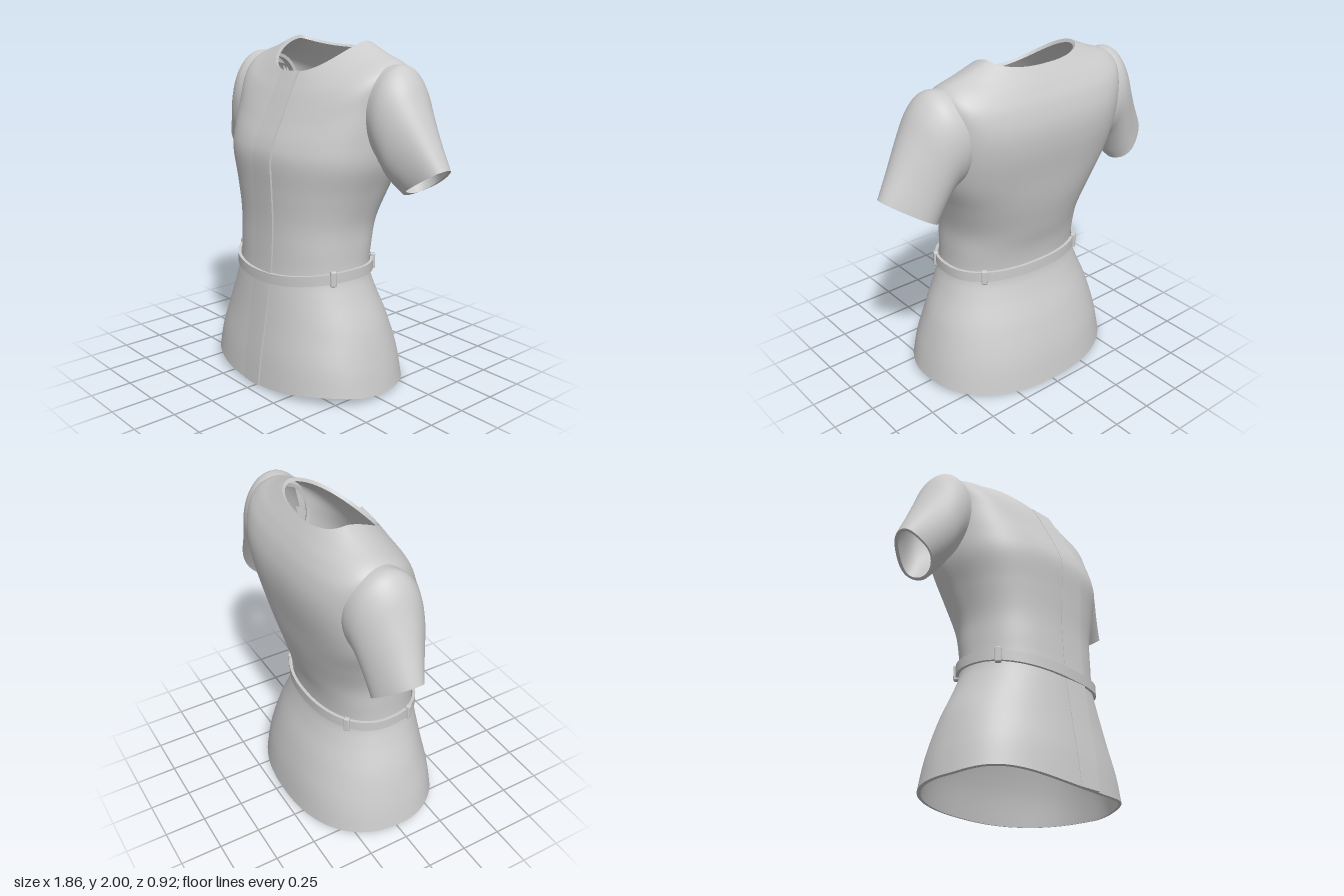
import * as THREE from 'three';
import { RoundedBoxGeometry } from 'three/addons/geometries/RoundedBoxGeometry.js';

const material = new THREE.MeshStandardMaterial({ color: 0xcccccc, side: THREE.DoubleSide });
const CX = -0.03; // the garment's centre line

// Body rings, hem to neck: yFront, ySide, yBack, halfWidth, zFront, zSide, zBack, squareness front and back
const BODY = [
  [0.02, 0.035, 0.005, 0.637, 0.45, 0.03, -0.46, 2.3, 2.3],
  [0.2, 0.2, 0.2, 0.605, 0.43, 0.03, -0.43, 2.3, 2.3],
  [0.4, 0.4, 0.4, 0.55, 0.4, 0.02, -0.375, 2.2, 2.2],
  [0.58, 0.58, 0.58, 0.475, 0.375, 0.02, -0.305, 2.2, 2.2],
  [0.7, 0.7, 0.7, 0.437, 0.36, 0.02, -0.275, 2.2, 2.2],
  [0.85, 0.85, 0.85, 0.432, 0.35, 0.01, -0.285, 2.3, 2.3],
  [1.0, 1.0, 1.0, 0.44, 0.345, 0, -0.325, 2.3, 2.3],
  [1.18, 1.18, 1.18, 0.49, 0.35, -0.04, -0.37, 2.35, 2.5],
  [1.35, 1.35, 1.35, 0.55, 0.355, -0.08, -0.4, 2.4, 2.8],
  [1.45, 1.52, 1.53, 0.57, 0.332, -0.12, -0.43, 2.4, 3.1],
  [1.56, 1.7, 1.66, 0.58, 0.28, -0.14, -0.432, 2.4, 3.3],
  [1.65, 1.84, 1.77, 0.585, 0.235, -0.15, -0.405, 2.4, 3.2],
  [1.72, 1.9, 1.85, 0.545, 0.2, -0.155, -0.365, 2.4, 2.8],
  [1.775, 1.945, 1.905, 0.425, 0.17, -0.165, -0.33, 2.4, 2.5],
  [1.83, 2.0, 1.955, 0.295, 0.14, -0.175, -0.295, 2.4, 2.4],
];

// Sleeve rings, from inside the shoulder to the cuff: top x, top y, underside x, underside y, z centre, z half depth
const SLEEVE = [
  [0.45, 1.88, 0.45, 1.42, -0.145, 0.18],
  [0.53, 1.893, 0.485, 1.375, -0.14, 0.198],
  [0.61, 1.887, 0.525, 1.345, -0.13, 0.203],
  [0.685, 1.815, 0.55, 1.31, -0.125, 0.195],
  [0.755, 1.69, 0.575, 1.27, -0.125, 0.178],
  [0.838, 1.535, 0.6, 1.23, -0.135, 0.15],
  [0.925, 1.38, 0.63, 1.19, -0.15, 0.12],
];

// Smooth interpolation through the rows of a table, t in 0..1
function sample(rows, t) {
  const last = rows.length - 1;
  const f = THREE.MathUtils.clamp(t, 0, 1) * last;
  const i = Math.min(Math.floor(f), last - 1), k = f - i;
  const row = j => rows[THREE.MathUtils.clamp(j, 0, last)];
  return rows[i].map((_, c) => {
    const [a, b, d, e] = [row(i - 1)[c], row(i)[c], row(i + 1)[c], row(i + 2)[c]];
    return b + 0.5 * k * (d - a + k * (2 * a - 5 * b + 4 * d - e + k * (3 * (b - d) + e - a)));
  });
}

// Point on the body ring at height t in direction (c, s); s > 0 is the front
function ringPoint(t, c, s) {
  const [yF, yS, yB, hx, zF, zS, zB, nF, nB] = sample(BODY, t);
  const n = s > 0 ? nF : nB;
  const r = (Math.abs(c) ** n + Math.abs(s) ** n) ** (-1 / n);
  const d = r * s, a = Math.abs(d);
  // the hem rises a little to each side of the front opening
  const hemRise = s > 0 ? 0.22 * d * d * (1 - d) * Math.max(0, 1 - 8 * t) : 0;
  return new THREE.Vector3(
    CX + hx * r * c,
    yS + ((s > 0 ? yF : yB) - yS) * a ** 1.6 + hemRise,
    zS + a * ((s > 0 ? zF : zB) - zS));
}
const bodyPoint = (u, v) => ringPoint(v, Math.cos(u * 2 * Math.PI), Math.sin(u * 2 * Math.PI));

// Armholes: the body is open where the sleeves join it
const inArmhole = p => Math.abs(p.x - CX) > 0.5 && p.y > 1.46 && p.y < 1.8 && Math.abs(p.z + 0.14) < 0.13;

// Outward normal of a parametric surface
function normalAt(fn, u, v) {
  const e = 0.002;
  const du = fn(u + e, v).sub(fn(u - e, v));
  const dv = fn(u, Math.min(v + e, 1)).sub(fn(u, Math.max(v - e, 0)));
  return dv.cross(du).normalize();
}

// Cloth with thickness: outer face, inner face and the rims; lift(u) raises it off the surface, hole(p) opens it
function cloth(name, fn, nu, nv, thick, { closed = true, lift = () => 0, hole = () => false } = {}) {
  const pos = [], index = [];
  const layer = (depth) => {
    const grid = [];
    for (let j = 0; j <= nv; j++) {
      grid.push([]);
      for (let i = 0; i <= nu; i++) {
        const u = closed ? (i % nu) / nu : i / nu, v = j / nv;
        grid[j].push(fn(u, v).addScaledVector(normalAt(fn, u, v), lift(u) - depth));
      }
    }
    return grid;
  };
  // Adds a patch of its own vertices so that its borders stay crisp
  const patch = (grid, flip, wrap) => {
    const start = pos.length / 3, w = grid[0].length, span = wrap ? w - 1 : w;
    for (const row of grid) for (let i = 0; i < span; i++) pos.push(...row[i].toArray());
    for (let j = 0; j < grid.length - 1; j++) for (let i = 0; i < w - 1; i++) {
      if (hole(grid[j][i])) continue;
      const a = start + j * span + i, b = start + j * span + (i + 1) % span;
      const c = a + span, d = b + span;
      index.push(...(flip ? [a, b, d, a, d, c] : [a, c, d, a, d, b]));
    }
  };
  const outer = layer(0), inner = layer(thick);
  patch(outer, false, closed);
  patch(inner, true, closed);
  patch([inner[0], outer[0]], false, closed);
  patch([outer[nv], inner[nv]], false, closed);
  if (!closed) {
    const column = (g, i) => g.map(row => row[i]);
    patch([column(outer, 0), column(inner, 0)], false, false);
    patch([column(inner, nu), column(outer, nu)], false, false);
  }
  const geo = new THREE.BufferGeometry();
  geo.setAttribute('position', new THREE.Float32BufferAttribute(pos, 3));
  geo.setIndex(index);
  geo.computeVertexNormals();
  const mesh = new THREE.Mesh(geo, material);
  mesh.name = name;
  return mesh;
}

// Sleeve surface; side is +1 for the left and -1 for the right
function sleevePoint(side) {
  return (u, v) => {
    const [tx, ty, bx, by, zc, hz] = sample(SLEEVE, v);
    const a = u * 2 * Math.PI, k = Math.cos(a);
    // the right sleeve sits a little further out, except at its cuff tip
    const shift = side > 0 ? 0 : 0.06 - 0.05 * v * v * (1 + k) / 2;
    const x = (tx + bx) / 2 + (tx - bx) / 2 * k + shift;
    // towards the cuff the top narrows and leans forward
    const fold = 1 + v * v * (0.05 * Math.cos(3 * a + 0.6) - 0.12 * k);
    return new THREE.Vector3(side * x, (ty + by) / 2 + (ty - by) / 2 * k,
      zc + 0.025 * v * v * k - side * hz * Math.sin(a) * fold);
  };
}

// Front overlap, from its free edge back across the centre
function placketPoint(u, v) {
  const edge = 0.05 + 0.017 * Math.sin(Math.PI * v);
  const x = THREE.MathUtils.lerp(edge, -0.1, u) - CX;
  const [, , , hx, , , , n] = sample(BODY, v);
  const c = x / hx;
  return ringPoint(v, c, (1 - Math.abs(c) ** n) ** (1 / n));
}

// Belt follows the waist ring and dips at the front
const WAIST = 4 / (BODY.length - 1);
function beltPoint(u, v) {
  const p = bodyPoint(u, WAIST), s = Math.sin(u * 2 * Math.PI);
  p.y = 0.722 - (s > 0 ? 0.05 * s * s : -0.01 * s * s) + (v - 0.5) * 0.06;
  return p;
}

export function createModel() {
  const group = new THREE.Group();
  group.name = 'jacket';

  group.add(cloth('body', bodyPoint, 128, 98, 0.02, { hole: inArmhole }));
  group.add(cloth('frontPlacket', placketPoint, 8, 84, 0.012,
    { closed: false, lift: u => 0.013 - 0.011 * u }));
  group.add(cloth('leftSleeve', sleevePoint(1), 56, 36, 0.02));
  group.add(cloth('rightSleeve', sleevePoint(-1), 56, 36, 0.02));
  group.add(cloth('belt', beltPoint, 96, 2, 0.018, { lift: () => 0.022 }));

  // Belt loops, two on each side
  const loopGeo = new RoundedBoxGeometry(0.036, 0.09, 0.03, 2, 0.008);
  [25, 155, 222, 318].forEach((deg, i) => {
    const u = deg / 360, n = normalAt(beltPoint, u, 0.5);
    const loop = new THREE.Mesh(loopGeo, material);
    loop.name = 'beltLoop' + (i + 1);
    loop.position.copy(beltPoint(u, 0.5)).addScaledVector(n, 0.02);
    loop.rotation.y = Math.atan2(n.x, n.z);
    group.add(loop);
  });
  return group;
}
